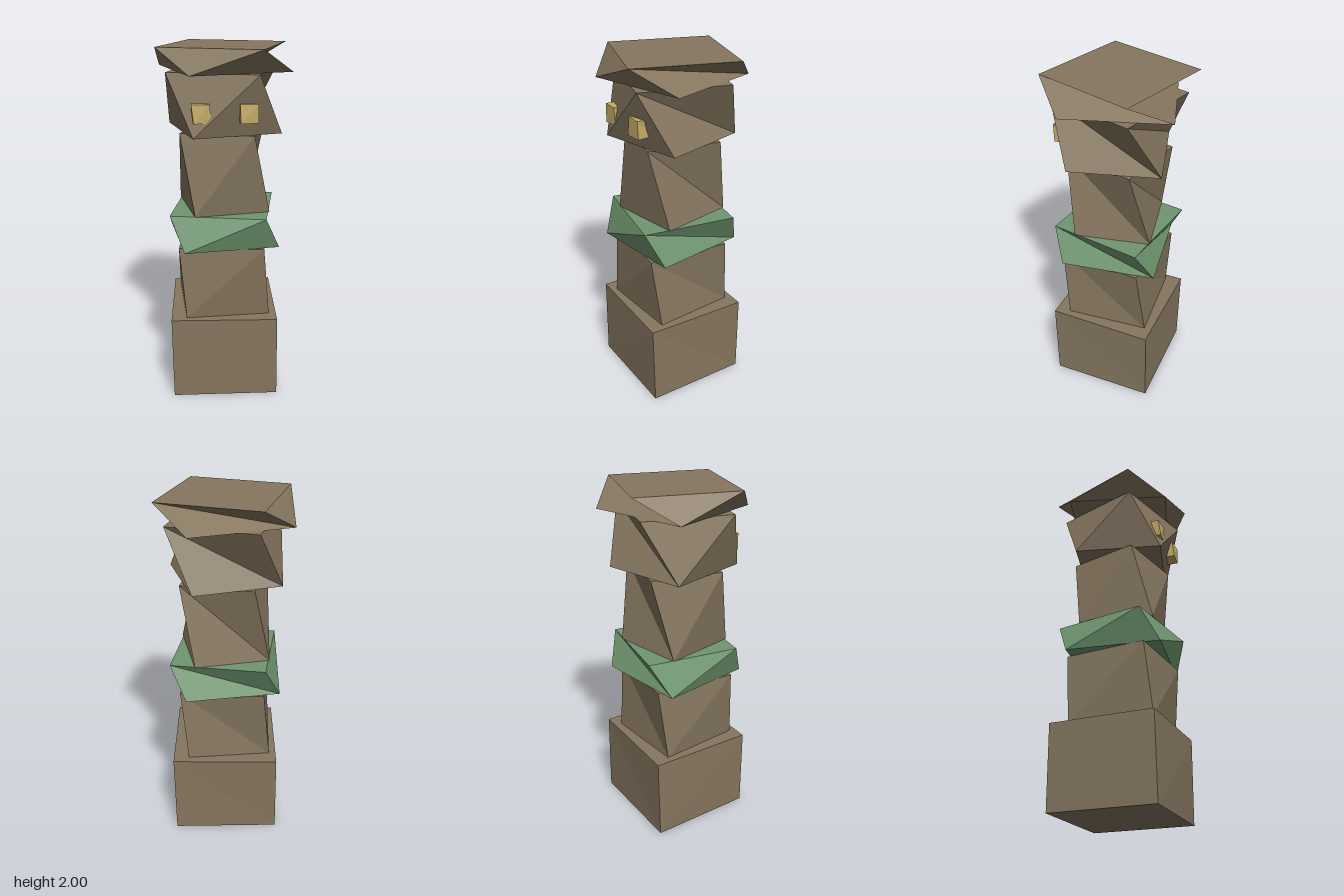
import * as THREE from 'three';

const WOOD = 0x85765f, GREEN = 0x6f9670, YELLOW = 0xc4ab66;

// Corners 0-3 lie below, 4-7 above, each in the order front -x, front +x, back +x, back -x
const FACES = [
  0, 1, 5, 0, 5, 4, // front
  1, 2, 5, 5, 2, 6, // +x side
  2, 3, 6, 6, 3, 7, // back
  3, 0, 4, 3, 4, 7, // -x side
  4, 5, 6, 4, 6, 7, // top
  3, 2, 1, 3, 1, 0, // underside
];

// A square turned so that its front +x corner is offset by (a, b) from its centre
function square(y, a, b, cx, cz) {
  return [[-b, a], [a, b], [b, -a], [-a, -b]].flatMap(([x, z]) => [cx + x, y, cz + z]);
}

// A block whose upper square is turned against its lower square
function block(name, color, y0, y1, lower, upper, c0, c1 = c0) {
  const indexed = new THREE.BufferGeometry();
  indexed.setAttribute('position', new THREE.Float32BufferAttribute(
    [...square(y0, ...lower, ...c0), ...square(y1, ...upper, ...c1)], 3));
  indexed.setIndex(FACES);
  const geometry = indexed.toNonIndexed();
  geometry.computeVertexNormals();
  const mesh = new THREE.Mesh(geometry, new THREE.MeshStandardMaterial({ color, flatShading: true }));
  mesh.name = name;
  return mesh;
}

export function createModel() {
  const group = new THREE.Group();
  group.name = 'totemPole';
  group.add(
    // Stacked body, twisting more towards the top
    block('base', WOOD, 0, 0.485, [0.306, 0.298], [0.299, 0.306], [-0.003, 0.008]),
    block('lowerBody', WOOD, 0.485, 0.9, [0.26, 0.217], [0.22, 0.258], [-0.004, 0.012], [-0.002, 0.015]),
    block('greenBand', GREEN, 0.9, 1.09, [0.309, 0.222], [0.223, 0.307], [-0.004, 0.012], [0, 0.006]),
    block('upperBody', WOOD, 1.09, 1.54, [0.253, 0.166], [0.158, 0.246], [0, 0.006], [0, 0.004]),
    block('head', WOOD, 1.54, 1.87, [0.311, 0.172], [0.176, 0.315], [0, 0.006], [0, 0.004]),
    block('cap', WOOD, 1.87, 2, [0.364, 0.188], [0.191, 0.366], [0, -0.002], [0, 0.001]),
    // Eyes set into the front of the head
    block('rightEye', YELLOW, 1.62, 1.72, [0.052, 0.042], [0.046, 0.05], [-0.126, 0.268], [-0.13, 0.264]),
    block('leftEye', YELLOW, 1.62, 1.72, [0.052, 0.042], [0.046, 0.05], [0.121, 0.268], [0.125, 0.264]),
  );
  return group;
}
